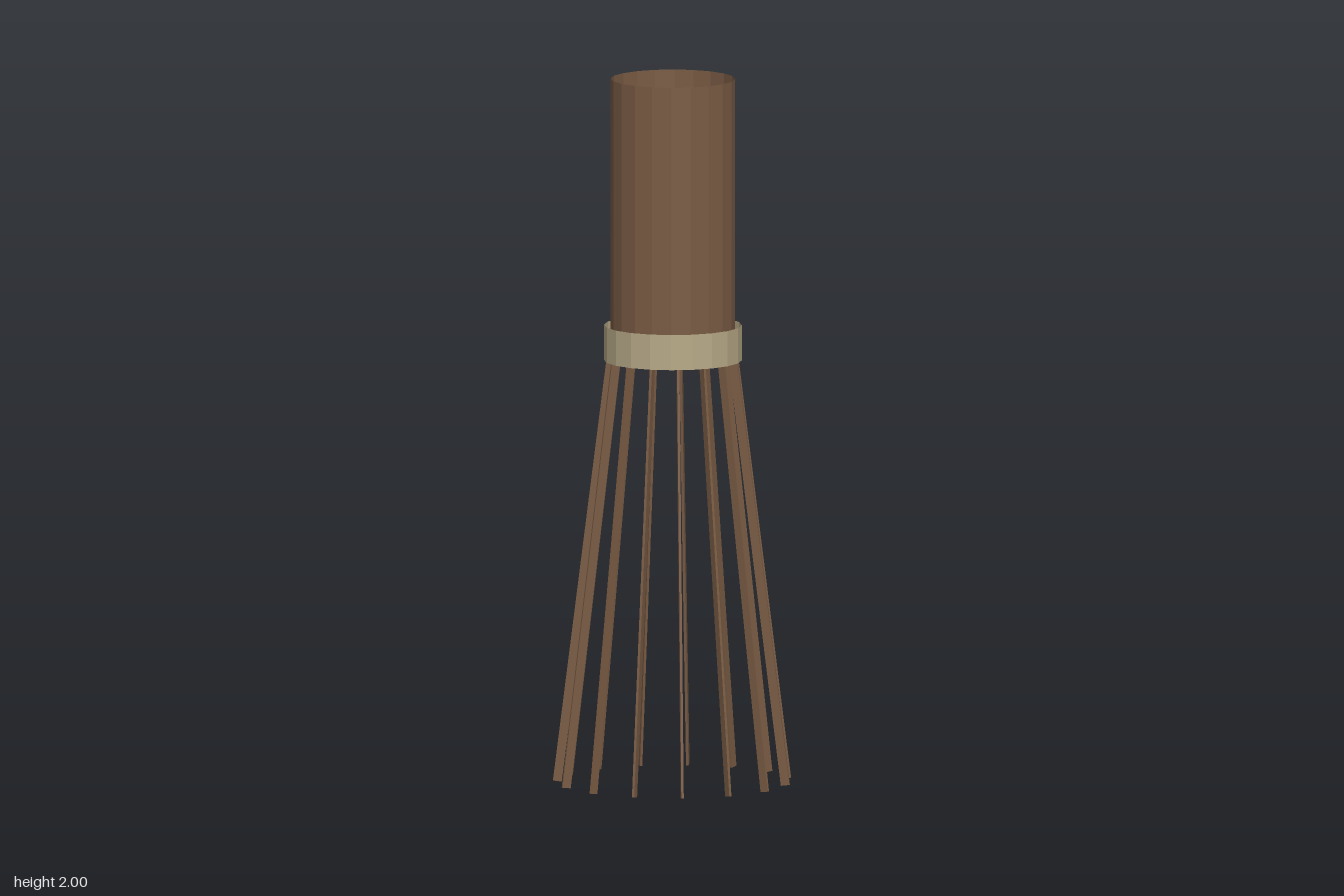
import * as THREE from 'three';

const SHIFT = -0.004; // centres the odd ring of slats on x
const SLATS = 15;

export function createModel() {
  const model = new THREE.Group();
  const wood = new THREE.MeshStandardMaterial({ color: 0x7a5c44, flatShading: true, side: THREE.DoubleSide });
  const tan = new THREE.MeshStandardMaterial({ color: 0xb8aa88, flatShading: true, side: THREE.DoubleSide });

  // Open, thin-walled upright sleeve
  const sleeve = (name, radius, bottom, top, material) => {
    const geometry = new THREE.CylinderGeometry(radius, radius, top - bottom, 20, 1, true);
    const mesh = new THREE.Mesh(geometry, material);
    mesh.name = name;
    mesh.position.set(SHIFT, (top + bottom) / 2, 0);
    model.add(mesh);
  };
  sleeve('tube', 0.175, 1.24, 2, wood);
  sleeve('band', 0.194, 1.2, 1.3, tan);

  // Ring of thin slats splaying outward below the band
  const slats = new THREE.Group();
  slats.name = 'slats';
  slats.position.x = SHIFT;
  const slatGeometry = new THREE.BoxGeometry(0.025, 1.205, 0.007);
  for (let i = 0; i < SLATS; i++) {
    const arm = new THREE.Group();
    arm.name = `slatArm${i + 1}`;
    arm.rotation.y = (i / SLATS) * Math.PI * 2;
    const slat = new THREE.Mesh(slatGeometry, wood);
    slat.name = 'slat';
    slat.position.set(0.25, 0.6, 0);
    slat.rotation.z = 0.125;
    arm.add(slat);
    slats.add(arm);
  }
  model.add(slats);

  return model;
}
